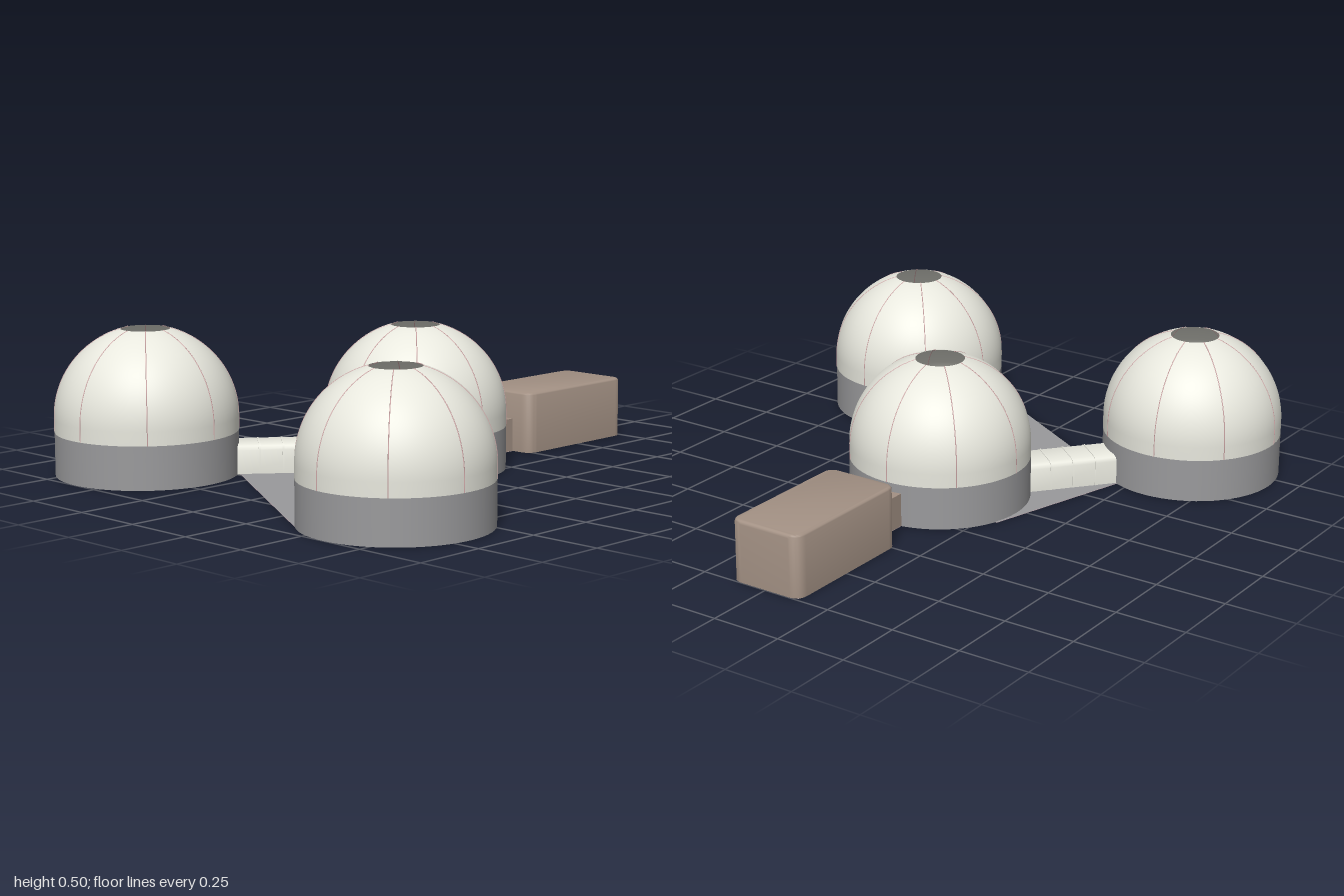
import * as THREE from 'three';
import { toCreasedNormals } from 'three/addons/utils/BufferGeometryUtils.js';

const mat = (color) => new THREE.MeshStandardMaterial({ color, side: THREE.DoubleSide });
const shellMat = mat(0xe8e8de), greyMat = mat(0x9a9a9c), tanMat = mat(0xa39184);
const seamMat = mat(0xd8b0b0), underMat = mat(0xa8949a);

const R = 0.315, BASE_H = 0.15, SPRING = 0.198, HOLE = 0.085;
const CENTRE_X = 0.027, OUTER_X = -0.685, OUTER_Z = 0.595;
const GAP = Math.hypot(CENTRE_X - OUTER_X, OUTER_Z);
const ANGLE = Math.atan2(OUTER_Z, CENTRE_X - OUTER_X);

function add(parent, name, geometry, material) {
  const mesh = new THREE.Mesh(geometry, material);
  mesh.name = name;
  parent.add(mesh);
  return mesh;
}

// Flat sheet on the ground: x and z outline, coloured separately above and below
function plate(parent, name, shape) {
  const geo = new THREE.ShapeGeometry(shape, 32).rotateX(Math.PI / 2);
  add(parent, name + 'Underside', geo, underMat);
  add(parent, name + 'Floor', geo, greyMat).position.y = 0.002;
}

function rectangle(x0, x1, z0, z1) {
  return new THREE.Shape([[x0, z0], [x1, z0], [x1, z1], [x0, z1]].map((p) => new THREE.Vector2(...p)));
}

// Dome profile: short upright wall, then a sphere cut off at the round opening
function domeProfile(steps) {
  const points = [new THREE.Vector2(R, BASE_H)];
  const end = Math.acos(HOLE / R);
  for (let i = 0; i <= steps; i++) {
    const a = (end * i) / steps;
    points.push(new THREE.Vector2(R * Math.cos(a), SPRING + R * Math.sin(a)));
  }
  return points;
}

function makeDome(name) {
  const dome = new THREE.Group();
  dome.name = name;
  add(dome, 'baseWall', new THREE.CylinderGeometry(R, R, BASE_H, 64, 1, true), greyMat).position.y = BASE_H / 2;
  add(dome, 'domeShell', new THREE.LatheGeometry(domeProfile(24), 64), shellMat);
  plate(dome, 'base', new THREE.Shape().absarc(0, 0, R, 0, Math.PI * 2));
  // Eight thin seams running up the shell
  const path = new THREE.CatmullRomCurve3(domeProfile(12).map((p) => new THREE.Vector3(p.x, p.y, 0)));
  const seamGeo = new THREE.TubeGeometry(path, 32, 0.0018, 5);
  for (let i = 0; i < 8; i++) add(dome, 'seam', seamGeo, seamMat).rotation.y = (i * Math.PI) / 4;
  return dome;
}

// Corridor section with chamfered upper corners, extruded along x
function corridorPiece(x0, x1, grow) {
  const w = 0.075 + grow, h = 0.103 + grow, c = 0.02;
  const section = new THREE.Shape([
    [-w, 0], [w, 0], [w, h - c], [w - c * 0.3, h - c * 0.3], [w - c, h],
    [-w + c, h], [-w + c * 0.3, h - c * 0.3], [-w, h - c],
  ].map((p) => new THREE.Vector2(...p)));
  const geo = new THREE.ExtrudeGeometry(section, { depth: x1 - x0, bevelEnabled: false });
  return toCreasedNormals(geo.rotateY(Math.PI / 2).translate(x0, 0.001, 0), 0.9);
}

function makeCorridor() {
  const corridor = new THREE.Group();
  corridor.name = 'corridor';
  const start = 0.3, end = GAP - 0.3;
  add(corridor, 'corridorTunnel', corridorPiece(start, end, 0), shellMat);
  for (let i = 1; i <= 3; i++) {
    const x = start + ((end - start) * i) / 4;
    add(corridor, 'corridorRib', corridorPiece(x - 0.003, x + 0.003, 0.002), shellMat);
  }
  plate(corridor, 'corridor', rectangle(start, end, -0.075, 0.075));
  return corridor;
}

// Block with rounded upright corners and a softly rounded top edge
function makeBlock(x0, x1, halfWidth, height, corner, edge) {
  const a = x0 + edge, b = x1 - edge, w = halfWidth - edge, r = corner;
  const s = new THREE.Shape();
  s.moveTo(a + r, -w);
  s.lineTo(b - r, -w);
  s.quadraticCurveTo(b, -w, b, -w + r);
  s.lineTo(b, w - r);
  s.quadraticCurveTo(b, w, b - r, w);
  s.lineTo(a + r, w);
  s.quadraticCurveTo(a, w, a, w - r);
  s.lineTo(a, -w + r);
  s.quadraticCurveTo(a, -w, a + r, -w);
  const geo = new THREE.ExtrudeGeometry(s, {
    depth: height - edge, bevelSize: edge, bevelThickness: edge, bevelSegments: 4, curveSegments: 8,
  });
  geo.rotateX(-Math.PI / 2);
  // Flatten the lower bevel so the sides meet the ground
  const pos = geo.attributes.position;
  for (let i = 0; i < pos.count; i++) pos.setY(i, Math.max(pos.getY(i), 0.001));
  return toCreasedNormals(geo, 0.7);
}

export function createModel() {
  const model = new THREE.Group();
  model.name = 'domeHabitat';

  const centre = makeDome('centreDome');
  centre.position.x = CENTRE_X;
  model.add(centre);

  // Two outer domes, each turned so its corridor runs to the centre dome
  for (const side of [1, -1]) {
    const outer = makeDome(side > 0 ? 'frontDome' : 'backDome');
    outer.add(makeCorridor());
    outer.position.set(OUTER_X, 0, side * OUTER_Z);
    outer.rotation.y = side * ANGLE;
    model.add(outer);
  }

  // Ground sheet between the domes
  const ground = [
    [-0.4, -0.46], [0.13, -0.305], [CENTRE_X, 0], [-0.365, 0.42], [-0.37, 0.52],
    [OUTER_X, 0.6], [-0.925, 0.39], [-0.485, -0.345],
  ];
  plate(model, 'ground', new THREE.Shape(ground.map((p) => new THREE.Vector2(...p))));

  // Entrance block and its short link
  const linkLength = 0.16;
  add(model, 'entranceLink', new THREE.BoxGeometry(linkLength, 0.118, 0.112), tanMat).position.set(0.41, 0.06, 0);
  add(model, 'entranceBlock', makeBlock(0.475, 1, 0.137, 0.217, 0.03, 0.012), tanMat);
  plate(model, 'entranceLink', rectangle(0.33, 0.49, -0.056, 0.056));
  plate(model, 'entranceBlock', rectangle(0.485, 0.99, -0.127, 0.127));
  return model;
}
